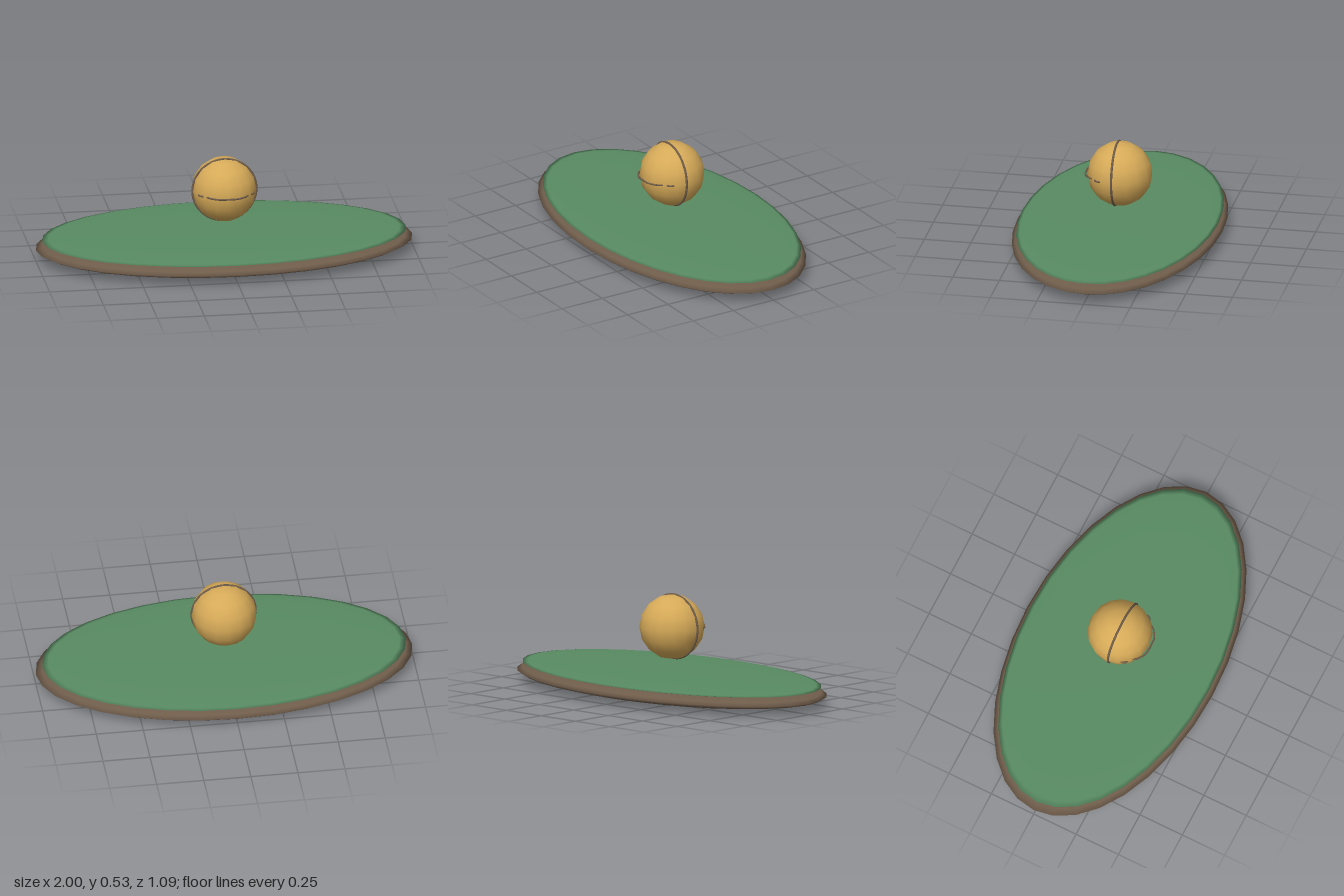
import * as THREE from 'three';

const mat = (name, color) => {
  const m = new THREE.MeshStandardMaterial({ color });
  m.name = name;
  return m;
};

export function createModel() {
  const model = new THREE.Group();
  const brown = mat('woodBrown', 0x705d4b);
  const green = mat('mossGreen', 0x588b62);
  const gold = mat('goldenTan', 0xd6aa58);

  const add = (name, geometry, material, x = 0, y = 0, z = 0) => {
    const mesh = new THREE.Mesh(geometry, material);
    mesh.name = name;
    mesh.position.set(x, y, z);
    model.add(mesh);
    return mesh;
  };

  // Two flattened ellipsoids: brown base and green top
  const disc = () => new THREE.SphereGeometry(1, 32, 12);
  add('base', disc().scale(1, 0.059, 0.547), brown, 0, 0.059, 0);
  add('greenTop', disc().scale(0.966, 0.018, 0.525), green, 0, 0.104, 0);

  // Floating ball
  const ballY = 0.354;
  add('ball', new THREE.SphereGeometry(0.172, 16, 8), gold, 0, ballY, 0);

  // Upright band around the ball
  add('uprightBand', new THREE.TorusGeometry(0.17, 0.006, 8, 48), brown, 0, ballY, 0.015);

  // Level seam across the front, dipping below the ball surface in places
  const half = [[0.05, 0.176], [0.096, 0.146], [0.115, 0.116], [0.143, 0.1], [0.145, 0.06]];
  const points = [
    ...half.map(([x, z]) => new THREE.Vector3(-x, 0, z)).reverse(),
    new THREE.Vector3(0, 0, 0.18),
    ...half.map(([x, z]) => new THREE.Vector3(x, 0, z)),
  ];
  const seam = new THREE.TubeGeometry(new THREE.CatmullRomCurve3(points), 48, 0.005, 6);
  add('frontSeam', seam, brown, 0, ballY, 0);

  return model;
}
